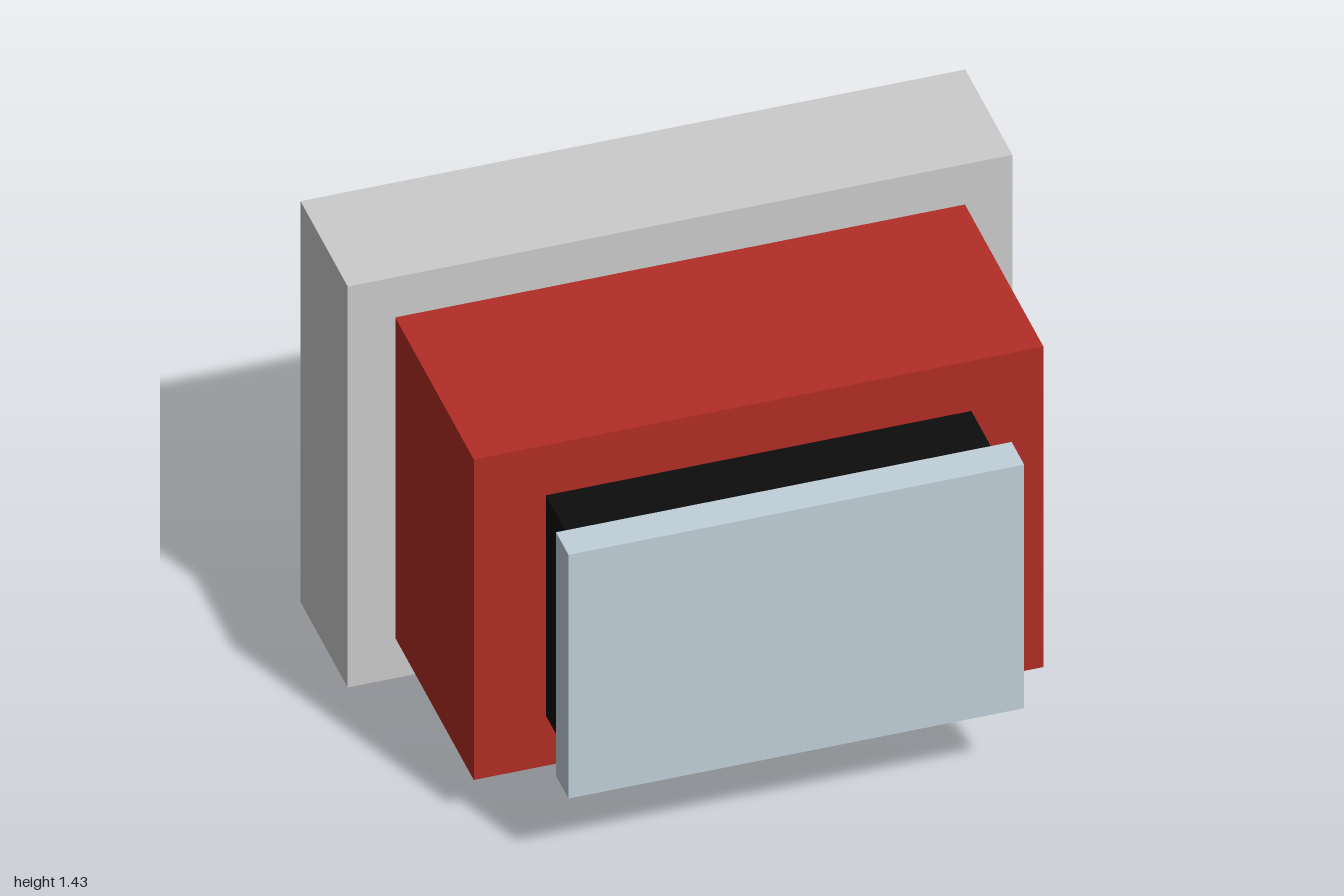
import * as THREE from 'three';

export function createModel() {
  const group = new THREE.Group();
  group.name = 'steppedBlock';
  const centerY = 0.715;

  // Stacked slabs from back to front: name, width, height, back z, front z, color
  const slabs = [
    ['backPlate', 2.0, 1.43, -0.743, -0.314, 0xcccccc],
    ['mainBody', 1.714, 1.143, -0.314, 0.4, 0xb22d26],
    ['neck', 1.28, 0.786, 0.4, 0.629, 0x0d0d0d],
    ['frontPanel', 1.371, 0.869, 0.629, 0.743, 0xc0d0da],
  ];

  for (const [name, width, height, z0, z1, color] of slabs) {
    const mesh = new THREE.Mesh(
      new THREE.BoxGeometry(width, height, z1 - z0),
      new THREE.MeshStandardMaterial({ color })
    );
    mesh.name = name;
    mesh.position.set(0, centerY, (z0 + z1) / 2);
    group.add(mesh);
  }
  return group;
}
